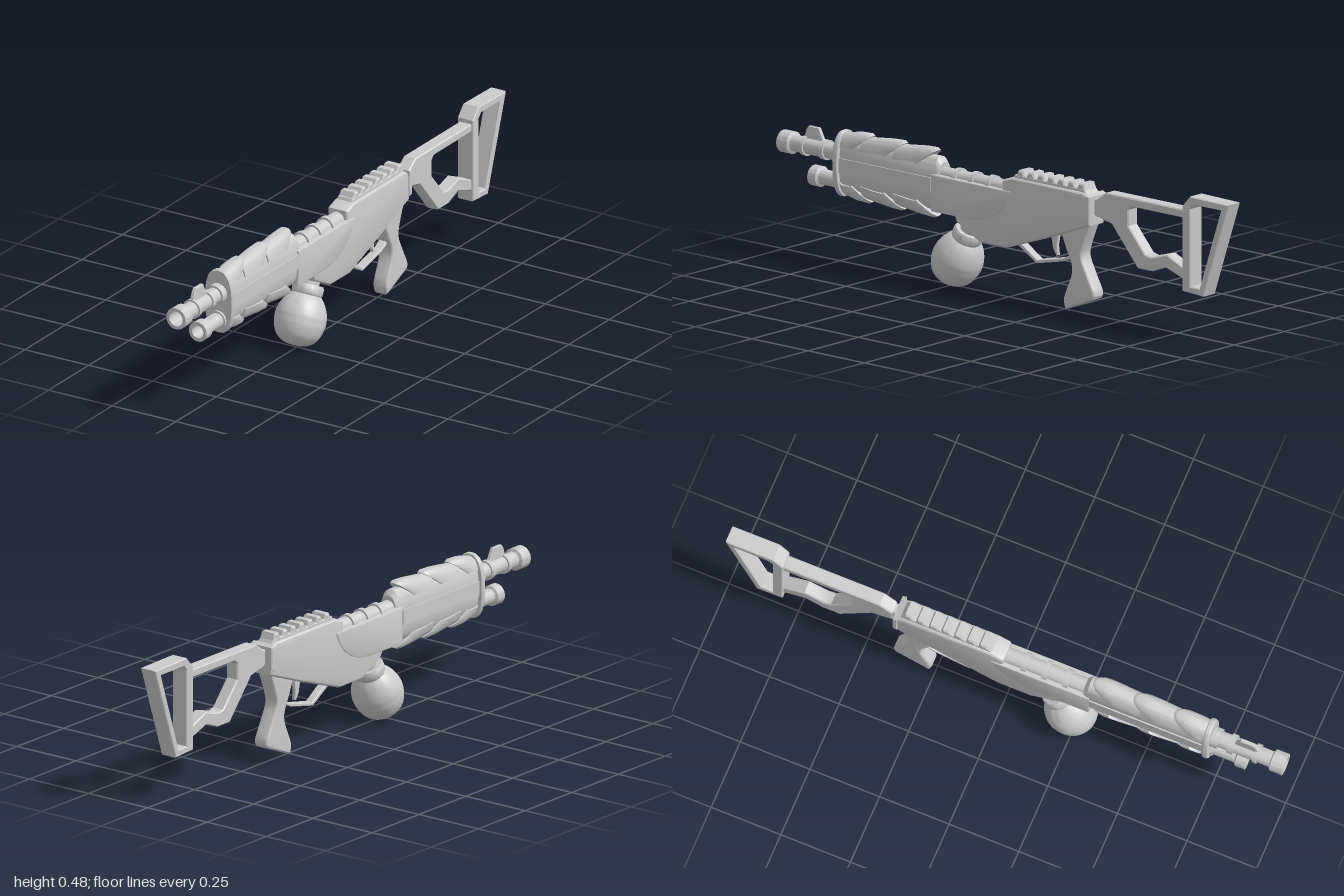
import * as THREE from 'three';
import { toCreasedNormals } from 'three/addons/utils/BufferGeometryUtils.js';

const mat = new THREE.MeshStandardMaterial({ color: 0xcccccc });

export function createModel() {
  const model = new THREE.Group();

  function add(name, geo, crease = 0.6) {
    const mesh = new THREE.Mesh(crease ? toCreasedNormals(geo, crease) : geo, mat);
    mesh.name = name;
    model.add(mesh);
    return mesh;
  }

  const pts = (list) => list.map(([a, b]) => new THREE.Vector2(a, b));

  // Side profile of [z, y] points, extruded across x with bevelled edges
  function plate(name, outline, width, bevel = 0.004, holes = [], steps = 1) {
    const shape = new THREE.Shape(pts(outline));
    holes.forEach((h) => shape.holes.push(new THREE.Path(pts(h))));
    const geo = new THREE.ExtrudeGeometry(shape, {
      depth: width - 2 * bevel, bevelEnabled: bevel > 0, bevelSize: bevel,
      bevelThickness: bevel, bevelOffset: -bevel, bevelSegments: steps,
    });
    geo.translate(0, 0, -(width - 2 * bevel) / 2);
    geo.rotateY(-Math.PI / 2);
    return add(name, geo, 0.5);
  }

  // Turned part along z from [radius, z] points
  function turned(name, profile, y) {
    const geo = new THREE.LatheGeometry(pts(profile), 32);
    geo.rotateX(Math.PI / 2);
    geo.translate(0, y, 0);
    return add(name, geo);
  }

  // Closed loft through equal rings, ordered from back to front
  function loft(name, rings) {
    const n = rings[0].length, v = [], idx = [];
    rings.forEach((r) => r.forEach((p) => v.push(...p)));
    for (let i = 0; i < rings.length - 1; i++)
      for (let j = 0; j < n; j++) {
        const a = i * n + j, b = i * n + (j + 1) % n;
        idx.push(a, b, b + n, a, b + n, a + n);
      }
    const last = (rings.length - 1) * n;
    for (let j = 1; j < n - 1; j++) {
      idx.push(0, j + 1, j);
      idx.push(last, last + j, last + j + 1);
    }
    const geo = new THREE.BufferGeometry();
    geo.setAttribute('position', new THREE.Float32BufferAttribute(v, 3));
    geo.setIndex(idx);
    geo.computeVertexNormals();
    return add(name, geo);
  }

  // Point on a slightly squared oval
  const soft = (t) => Math.sign(t) * Math.abs(t) ** 0.8;
  const oval = (w, h, a) => [w * soft(Math.cos(a)), h * soft(Math.sin(a))];
  const ovalRing = (w, h, z, cy) => Array.from({ length: 48 }, (_, i) => {
    const [x, y] = oval(w, h, (i / 48) * Math.PI * 2);
    return [x, cy + y, z];
  });

  // Barrels with hollow muzzles and raised rings
  const ring = (r, z, w, R) => [[r, z], [R, z], [R, z + w], [r, z + w]];
  turned('upperBarrel', [
    [0.028, -0.02], ...ring(0.028, 0.06, 0.018, 0.035), ...ring(0.028, 0.135, 0.018, 0.035),
    ...ring(0.028, 0.21, 0.018, 0.035), ...ring(0.028, 0.72, 0.045, 0.035),
    ...ring(0.028, 0.8, 0.02, 0.034), ...ring(0.028, 0.89, 0.015, 0.034),
    [0.028, 0.95], [0.038, 0.955], [0.038, 1], [0.026, 1], [0.026, 0.93], [0, 0.93],
  ], 0.368);
  turned('lowerTube', [
    [0.026, 0.7], ...ring(0.026, 0.735, 0.012, 0.032), [0.026, 0.825], [0.035, 0.83],
    [0.035, 0.865], [0.022, 0.865], [0.022, 0.81], [0, 0.81],
  ], 0.273);
  plate('frontSight', [[0.905, 0.39], [0.895, 0.425], [0.885, 0.438], [0.84, 0.438],
    [0.825, 0.41], [0.815, 0.39]], 0.014, 0.002);

  // Fore-end core and end collar
  const mid = 0.337;
  loft('foreEndCore', [ovalRing(0.034, 0.075, 0.285, mid), ovalRing(0.04, 0.093, 0.3, mid),
    ovalRing(0.04, 0.093, 0.725, mid)]);
  loft('foreEndCollar', [ovalRing(0.053, 0.11, 0.718, mid), ovalRing(0.055, 0.113, 0.722, mid),
    ovalRing(0.055, 0.113, 0.733, mid), ovalRing(0.052, 0.109, 0.738, mid)]);
  for (const s of [-1, 1]) {
    const rail = add('sideRail', new THREE.BoxGeometry(0.012, 0.05, 0.41), 0);
    rail.position.set(s * 0.038, mid, 0.515);
  }

  // Overlapping shell scales, flared and swept at the rear, above and below
  const N = 24, A0 = 0.5;
  const scaleRing = (w, h, z, sweep) => Array.from({ length: N + 1 }, (_, i) => {
    const a = A0 + (Math.PI - 2 * A0) * (i / N);
    const [x, y] = oval(w, h, a);
    return [x, y, z + sweep * (1 - Math.sin(a))];
  });
  for (const side of ['upper', 'lower'])
    for (let k = 0; k < 3; k++) {
      const back = 0.31 + k * 0.145, front = k === 2 ? 0.722 : back + 0.175;
      const shell = loft(side + 'Shell', [
        scaleRing(0.044, 0.112, back, 0.13), scaleRing(0.047, 0.119, back + 0.012, 0.12),
        scaleRing(0.046, 0.117, back + 0.06, 0.09), scaleRing(0.043, 0.104, front, 0)]);
      shell.position.y = mid;
      if (side === 'lower') shell.rotation.z = Math.PI;
    }

  // Receiver, its overlapping front cover and the rear plate
  plate('receiver', [[0, 0.36], [0, 0.405], [-0.045, 0.42], [-0.36, 0.42], [-0.39, 0.405],
    [-0.39, 0.31], [-0.22, 0.245], [-0.02, 0.175], [0.1, 0.175], [0.2, 0.225], [0.22, 0.26],
    [0.2, 0.36]], 0.08, 0.012, [], 3);
  const sweep = new THREE.QuadraticBezierCurve(new THREE.Vector2(-0.045, 0.372),
    new THREE.Vector2(-0.01, 0.26), new THREE.Vector2(0.13, 0.247));
  plate('frontCover', [[0.31, 0.247], [0.31, 0.375],
    ...sweep.getPoints(12).map((p) => [p.x, p.y])], 0.088, 0.006, [], 2);
  plate('rearPlate', [[-0.378, 0.325], [-0.378, 0.417], [-0.395, 0.41], [-0.395, 0.33]], 0.092, 0.003);

  // Ribbed top rail
  plate('topRail', [[-0.04, 0.41], [-0.05, 0.43], [-0.36, 0.43], [-0.375, 0.41]], 0.06, 0.003);
  for (let i = 0; i < 7; i++) {
    const z = -0.06 - i * 0.045;
    plate('railRib', [[z + 0.006, 0.425], [z - 0.006, 0.447], [z - 0.026, 0.447],
      [z - 0.034, 0.425]], 0.06, 0.005);
  }

  // Grip, trigger and guard
  const gripLine = new THREE.SplineCurve(pts([[-0.25, 0.27], [-0.275, 0.21], [-0.298, 0.16],
    [-0.295, 0.12], [-0.264, 0.045], [-0.27, 0.006]])).getPoints(20);
  const gripBack = new THREE.SplineCurve(pts([[-0.392, 0.056], [-0.398, 0.08], [-0.365, 0.145],
    [-0.343, 0.195], [-0.352, 0.24], [-0.38, 0.31]])).getPoints(20);
  plate('grip', [...gripLine, ...gripBack].map((p) => [p.x, p.y]), 0.056, 0.01, [], 3);
  plate('triggerGuard', [[-0.045, 0.2], [-0.055, 0.185], [-0.135, 0.138], [-0.25, 0.163],
    [-0.285, 0.18], [-0.285, 0.19], [-0.25, 0.174], [-0.137, 0.15], [-0.075, 0.19]], 0.03, 0.002);
  plate('trigger', [[-0.19, 0.25], [-0.2, 0.2], [-0.215, 0.175], [-0.222, 0.178],
    [-0.218, 0.21], [-0.225, 0.25]], 0.014, 0.002);

  // Round tank on a tilted neck
  const ball = new THREE.SplineCurve(pts([[0, -0.09], [0.04, -0.084], [0.072, -0.058],
    [0.087, -0.01], [0.083, 0.03], [0.066, 0.066], [0.045, 0.09]])).getPoints(28);
  const tank = new THREE.Group();
  tank.name = 'tank';
  tank.add(add('tankBall', new THREE.LatheGeometry(ball, 48)),
    add('tankNeck', new THREE.LatheGeometry(pts([[0.044, 0.08], [0.05, 0.084], [0.053, 0.09],
      [0.053, 0.112], [0.048, 0.12], [0.034, 0.12], [0.034, 0.17], [0, 0.17]]), 40)));
  tank.position.set(0, 0.092, 0.228);
  tank.rotation.x = -0.47;
  model.add(tank);

  // Open stock frame
  plate('stockNeck', [[-0.38, 0.345], [-0.38, 0.4], [-0.43, 0.4], [-0.43, 0.345]], 0.036, 0.003);
  plate('stockFrame', [[-0.405, 0.345], [-0.405, 0.4], [-0.45, 0.432], [-0.805, 0.432],
    [-0.805, 0.19], [-0.715, 0.22], [-0.655, 0.197], [-0.59, 0.197], [-0.475, 0.33]],
  0.048, 0.004, [[[-0.565, 0.403], [-0.55, 0.39], [-0.55, 0.335], [-0.625, 0.25], [-0.65, 0.245],
    [-0.72, 0.265], [-0.797, 0.232], [-0.797, 0.403]]]);

  // Triangular butt loop
  plate('buttLoop', [[-0.795, 0.155], [-0.795, 0.445], [-0.83, 0.483], [-1, 0.48],
    [-0.888, 0.15]], 0.062, 0.003,
  [[[-0.83, 0.175], [-0.83, 0.44], [-0.845, 0.457], [-0.967, 0.457], [-0.872, 0.175]]]);

  return model;
}
